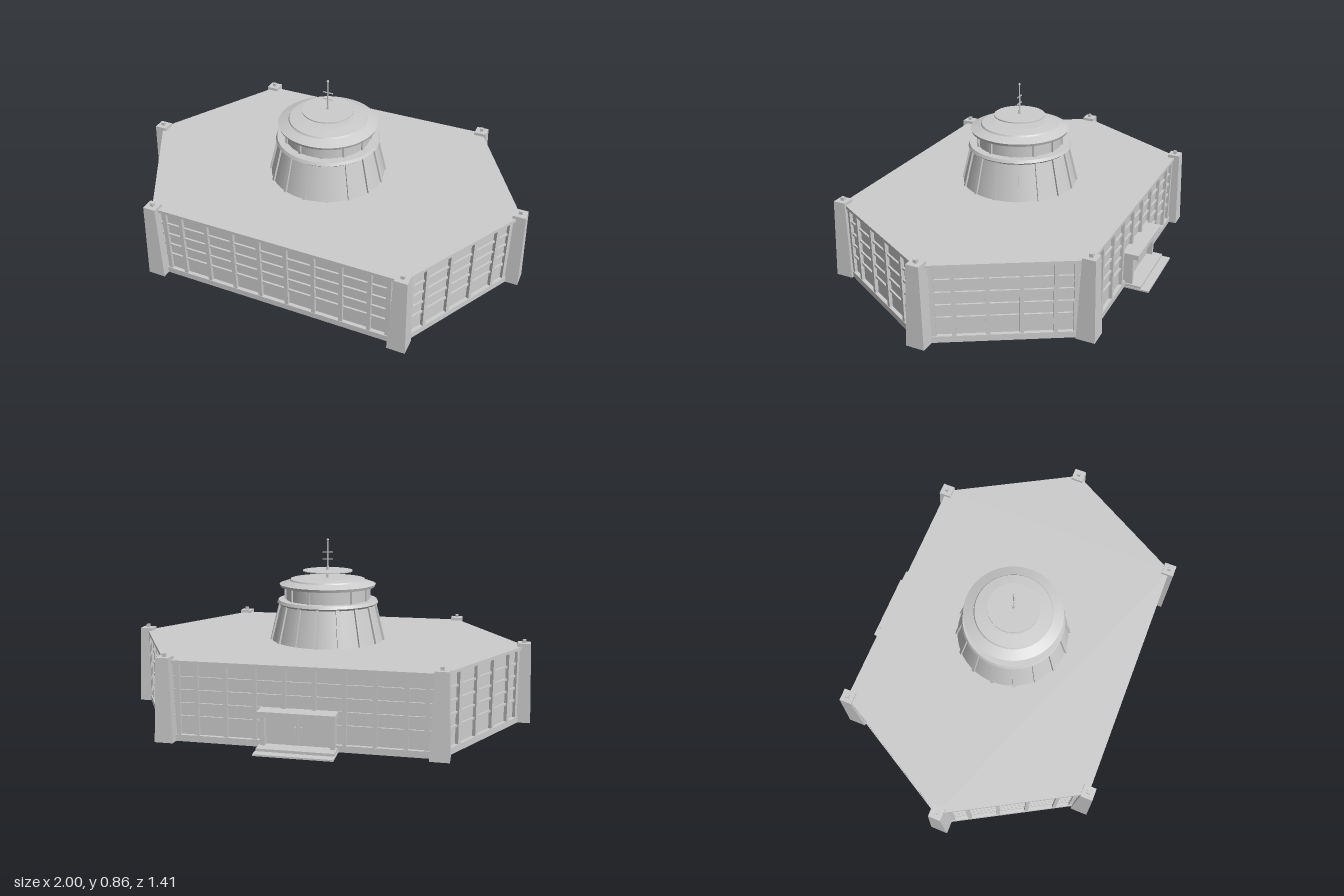
import * as THREE from 'three';

const CZ = 0.04;            // centre of the hexagon along z
const HX = 0.957, HXC = 0.61, HZ = 0.62;

export function createModel() {
  const root = new THREE.Group();
  root.name = 'hexagonalBuilding';
  const concrete = new THREE.MeshStandardMaterial({ color: 0xcccccc });
  concrete.name = 'paleConcrete';

  const add = (parent, name, geo, x = 0, y = 0, z = 0) => {
    const m = new THREE.Mesh(geo, concrete);
    m.name = name;
    m.position.set(x, y, z);
    parent.add(m);
    return m;
  };
  const box = (parent, name, w, h, d, x, y, z) =>
    add(parent, name, new THREE.BoxGeometry(w, h, d), x, y, z);
  const group = (parent, name, x = 0, y = 0, z = 0) => {
    const g = new THREE.Group();
    g.name = name;
    g.position.set(x, y, z);
    parent.add(g);
    return g;
  };

  // Hexagon corners, pushed outwards by d
  const slantLen = Math.hypot(HX - HXC, HZ);
  const nx = HZ / slantLen, nz = (HX - HXC) / slantLen;
  const corners = d => {
    const z = HZ + d;
    const xm = HX + d / nx;
    const xc = (nx * HX + d - nz * z) / nx;
    return [[xm, 0], [xc, z], [-xc, z], [-xm, 0], [-xc, -z], [xc, -z]];
  };
  const hexSlab = (name, d, y0, y1) => {
    const shape = new THREE.Shape(corners(d).map(([x, z]) => new THREE.Vector2(x, -z)));
    const geo = new THREE.ExtrudeGeometry(shape, { depth: y1 - y0, bevelEnabled: false });
    geo.rotateX(-Math.PI / 2);
    add(root, name, geo, 0, y0, CZ);
  };
  hexSlab('basePlinth', 0.006, 0, 0.03);
  hexSlab('wallCore', -0.012, 0.03, 0.355);
  hexSlab('roofSlab', 0.004, 0.355, 0.37);

  // Grid of mullions and rails on each of the six walls
  const ring = corners(-0.012);
  ring.forEach(([x0, z0], i) => {
    const [x1, z1] = ring[(i + 1) % 6];
    const len = Math.hypot(x1 - x0, z1 - z0);
    const wall = group(root, 'wallGrid', (x0 + x1) / 2, 0, (z0 + z1) / 2 + CZ);
    wall.rotation.y = Math.atan2(x0 + x1, z0 + z1);
    if (Math.abs(z0 - z1) > 0.1) {
      // slanted wall: face along its own normal
      wall.rotation.y = Math.atan2(nx * Math.sign(x0 + x1), nz * Math.sign(z0 + z1));
    }
    const long = len > 1;
    const count = long ? 8 : 4, step = long ? 0.133 : 0.142;
    for (let k = 0; k < count; k++) {
      box(wall, 'mullion', 0.018, 0.325, 0.018, (k - (count - 1) / 2) * step, 0.1925, 0.007);
    }
    for (const s of [-1, 1]) {
      box(wall, 'endMullion', 0.02, 0.325, 0.016, s * (len / 2 - 0.05), 0.1925, 0.006);
    }
    for (const y of [0.113, 0.173, 0.233, 0.293]) {
      box(wall, 'rail', len - 0.02, 0.01, 0.012, 0, y, 0.003);
    }
  });

  // Tapered corner pillars with a small cap
  for (const [x, z] of corners(0)) {
    const pillar = group(root, 'cornerPillar', x, 0, z + CZ);
    const shaft = new THREE.BoxGeometry(0.086, 0.385, 0.086);
    const p = shaft.attributes.position;
    for (let i = 0; i < p.count; i++) {
      if (p.getY(i) > 0) p.setXYZ(i, p.getX(i) * 0.7, p.getY(i), p.getZ(i) * 0.7);
    }
    shaft.computeVertexNormals();
    add(pillar, 'pillarShaft', shaft, 0, 0.1925, 0);
    box(pillar, 'pillarCap', 0.016, 0.016, 0.016, 0, 0.393, 0);
  }

  // Round tower on the roof
  const tower = group(root, 'tower', 0, 0, CZ);
  const drum = (name, rBottom, rTop, y0, y1, seg = 64) =>
    add(tower, name, new THREE.CylinderGeometry(rTop, rBottom, y1 - y0, seg), 0, (y0 + y1) / 2, 0);
  drum('towerCone', 0.278, 0.234, 0.37, 0.55);
  drum('lowerLedge', 0.238, 0.25, 0.543, 0.553);
  drum('lowerLedgeTop', 0.25, 0.243, 0.553, 0.567);
  drum('windowDrum', 0.205, 0.205, 0.565, 0.635);
  drum('roofBrim', 0.232, 0.237, 0.63, 0.643);
  drum('roofSlope', 0.237, 0.187, 0.643, 0.66);
  drum('roofStep', 0.187, 0.183, 0.66, 0.667);
  drum('roofCrown', 0.183, 0.12, 0.667, 0.673);

  const tilt = Math.atan2(0.044, 0.18);
  for (let i = 0; i < 16; i++) {
    const spoke = group(tower, 'coneRib');
    spoke.rotation.y = i * Math.PI / 8;
    box(spoke, 'rib', 0.016, 0.183, 0.016, 0, 0.459, 0.257).rotation.x = -tilt;
  }
  for (let i = 0; i < 12; i++) {
    const spoke = group(tower, 'windowPost');
    spoke.rotation.y = (i + 0.5) * Math.PI / 6;
    box(spoke, 'post', 0.014, 0.066, 0.014, 0, 0.598, 0.206);
  }

  // Antenna with disc and crossbars
  drum('antennaSocket', 0.007, 0.005, 0.67, 0.73, 12);
  drum('antennaDisc', 0.123, 0.123, 0.704, 0.709);
  drum('antennaMast', 0.004, 0.003, 0.72, 0.86, 12);
  add(tower, 'antennaTip', new THREE.SphereGeometry(0.006, 12, 8), 0, 0.857, 0);
  for (const y of [0.763, 0.797]) box(tower, 'antennaBar', 0.05, 0.004, 0.004, 0, y, 0);

  // Rear entrance: canopy, side walls, doors and steps
  const entrance = group(root, 'entrance');
  box(entrance, 'canopy', 0.345, 0.024, 0.075, 0, 0.167, -0.61);
  for (const s of [-1, 1]) {
    box(entrance, 'sideWall', 0.02, 0.14, 0.05, s * 0.155, 0.085, -0.595);
    box(entrance, 'doorLeaf', 0.143, 0.138, 0.02, s * 0.0725, 0.086, -0.583);
    box(entrance, 'doorHandle', 0.006, 0.03, 0.01, s * 0.014, 0.09, -0.597);
  }
  box(entrance, 'upperStep', 0.345, 0.012, 0.085, 0, 0.014, -0.6225);
  box(entrance, 'lowerStep', 0.352, 0.008, 0.125, 0, 0.004, -0.6425);

  return root;
}
